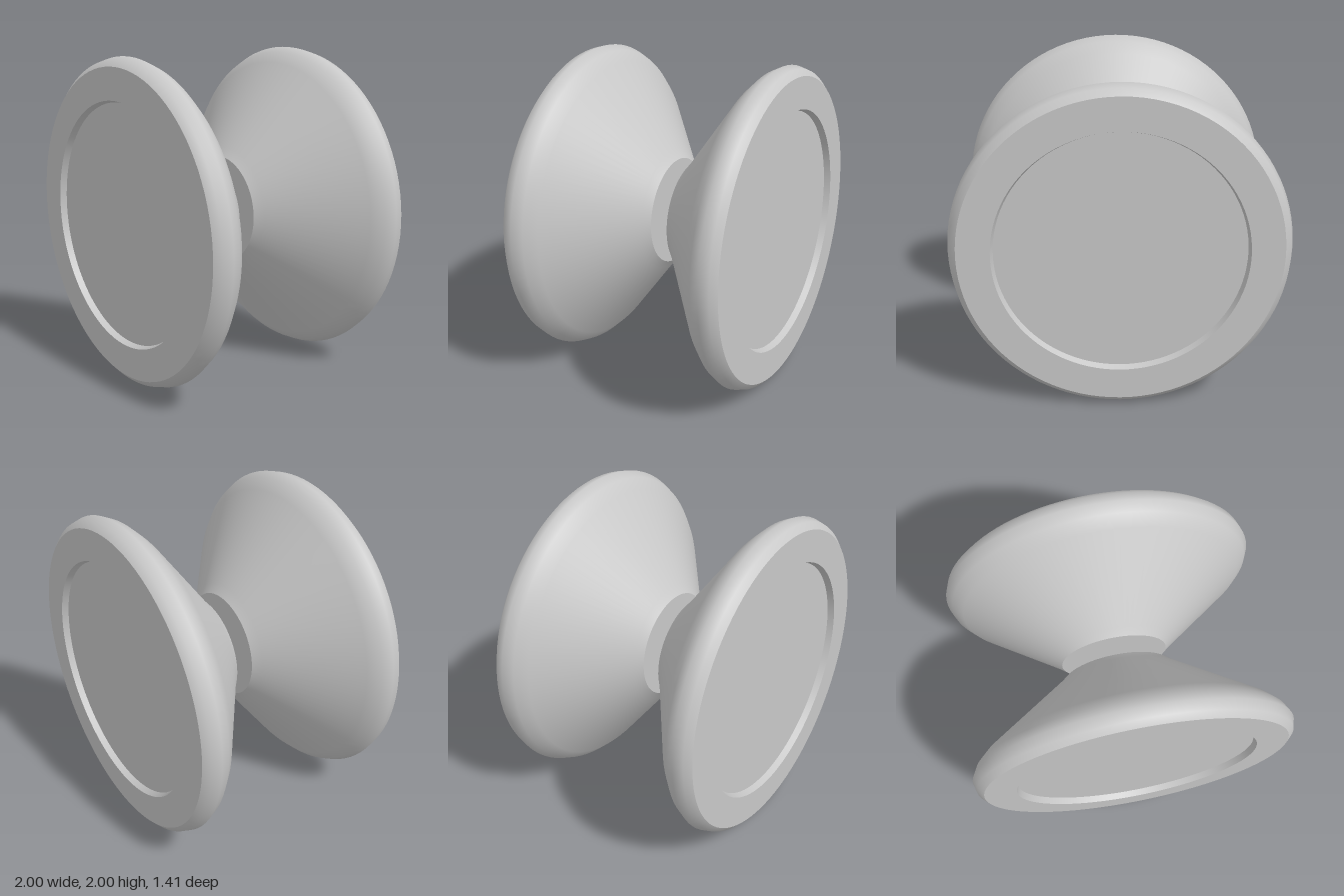
import * as THREE from 'three';

const SEGMENTS = 96;

// Each section is [radius, distance from the middle]; separate sections keep their shared edges sharp.
const SECTIONS = {
  innerFace: [[0, 0.055], [0.338, 0.055]],
  flaredSide: [
    [0.338, 0.055], [0.39, 0.1], [0.908, 0.485], [0.97, 0.548],
    [1, 0.61], [0.983, 0.67], [0.945, 0.705],
  ],
  rimFace: [[0.945, 0.705], [0.748, 0.705]],
  recessWall: [[0.748, 0.705], [0.735, 0.665]],
  recessFloor: [[0.735, 0.665], [0, 0.665]],
};

function createHalf(name, material) {
  const half = new THREE.Group();
  half.name = name;
  for (const [part, profile] of Object.entries(SECTIONS)) {
    const points = profile.map(([r, d]) => new THREE.Vector2(r, d));
    const geometry = new THREE.LatheGeometry(points, SEGMENTS);
    geometry.rotateX(Math.PI / 2); // turn the axis to face the front
    const mesh = new THREE.Mesh(geometry, material);
    mesh.name = part;
    half.add(mesh);
  }
  half.position.y = 1;
  return half;
}

export function createModel() {
  const grey = new THREE.MeshStandardMaterial({ color: 0xc8c8c8 });
  grey.name = 'light grey';

  const model = new THREE.Group();
  model.name = 'splitSpool';

  // Two matching flared discs, back to back with a gap between them
  const front = createHalf('frontHalf', grey);
  const back = createHalf('backHalf', grey);
  back.rotation.y = Math.PI;
  model.add(front, back);
  return model;
}
